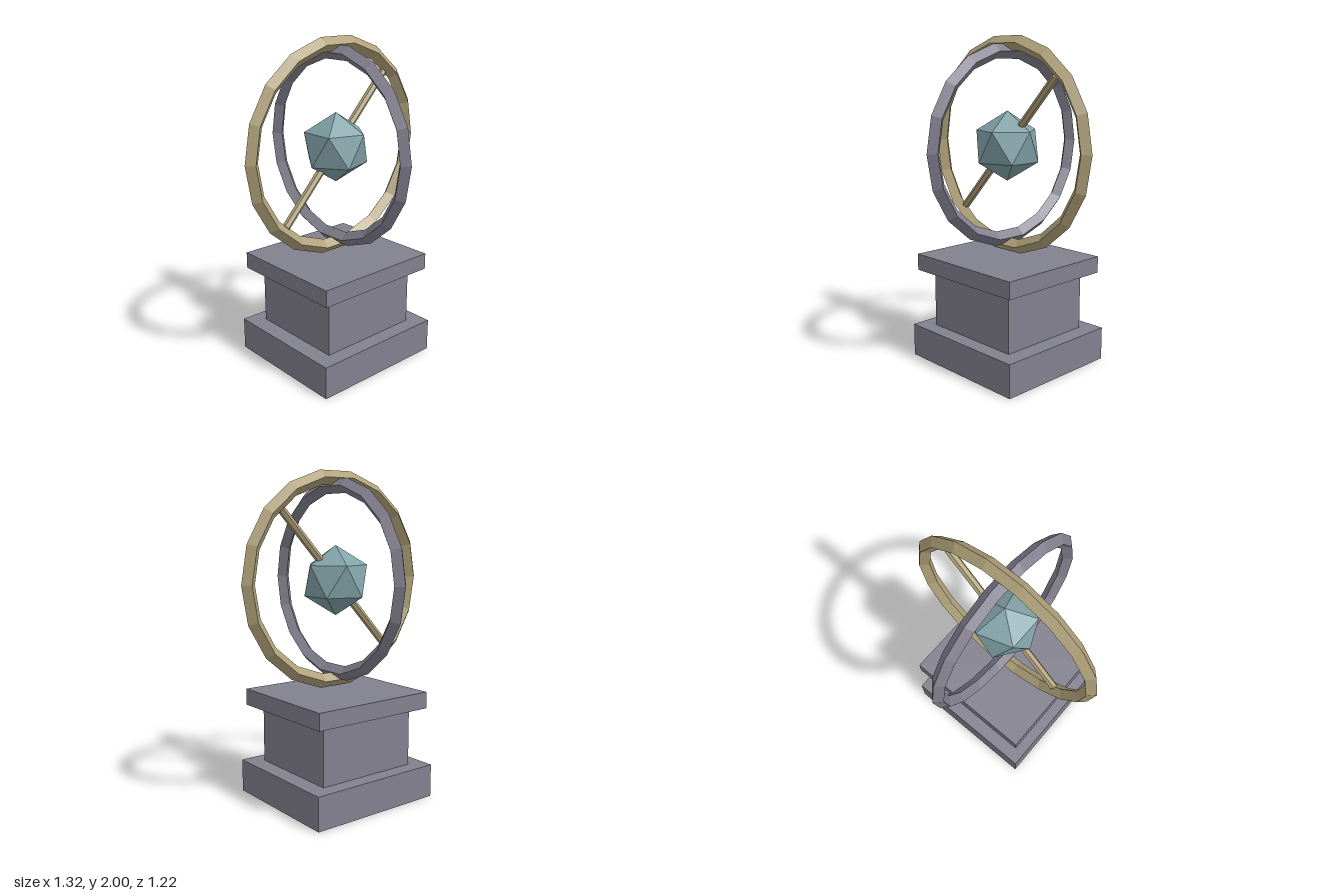
import * as THREE from 'three';

const material = (name, color) => {
  const m = new THREE.MeshStandardMaterial({ color, flatShading: true });
  m.name = name;
  return m;
};

export function createModel() {
  const stone = material('grey stone', 0x82808e);
  const brass = material('brass', 0xb0a27a);
  const teal = material('teal', 0x82a3a9);
  const centreY = 1.35;

  const model = new THREE.Group();
  model.name = 'armillarySphere';

  const add = (name, geometry, mat, y) => {
    const mesh = new THREE.Mesh(geometry, mat);
    mesh.name = name;
    mesh.position.y = y;
    model.add(mesh);
    return mesh;
  };

  // Stepped pedestal: name, width, depth, bottom, top
  for (const [name, w, d, y0, y1] of [
    ['pedestalBase', 0.876, 0.81, 0, 0.204],
    ['pedestalShaft', 0.664, 0.62, 0.204, 0.565],
    ['pedestalCap', 0.824, 0.762, 0.565, 0.668],
  ]) {
    add(name, new THREE.BoxGeometry(w, y1 - y0, d), stone, (y0 + y1) / 2);
  }

  // Two crossed rings with a diamond-shaped section
  add('outerRing', new THREE.TorusGeometry(0.616, 0.044, 4, 18), brass, centreY);
  const inner = add('innerRing', new THREE.TorusGeometry(0.568, 0.044, 4, 18), stone, centreY);
  inner.rotation.y = Math.PI / 2;

  // Tilted axis rod
  const rod = add('axisRod', new THREE.CylinderGeometry(0.024, 0.024, 1.14, 6), brass, centreY);
  rod.rotation.z = -0.75;

  // Faceted globe, turned to stand on one of its corners
  const globe = new THREE.IcosahedronGeometry(0.212, 0);
  globe.rotateZ(Math.atan(2 / (1 + Math.sqrt(5))));
  globe.rotateY(Math.PI);
  add('globe', globe, teal, centreY);

  return model;
}
